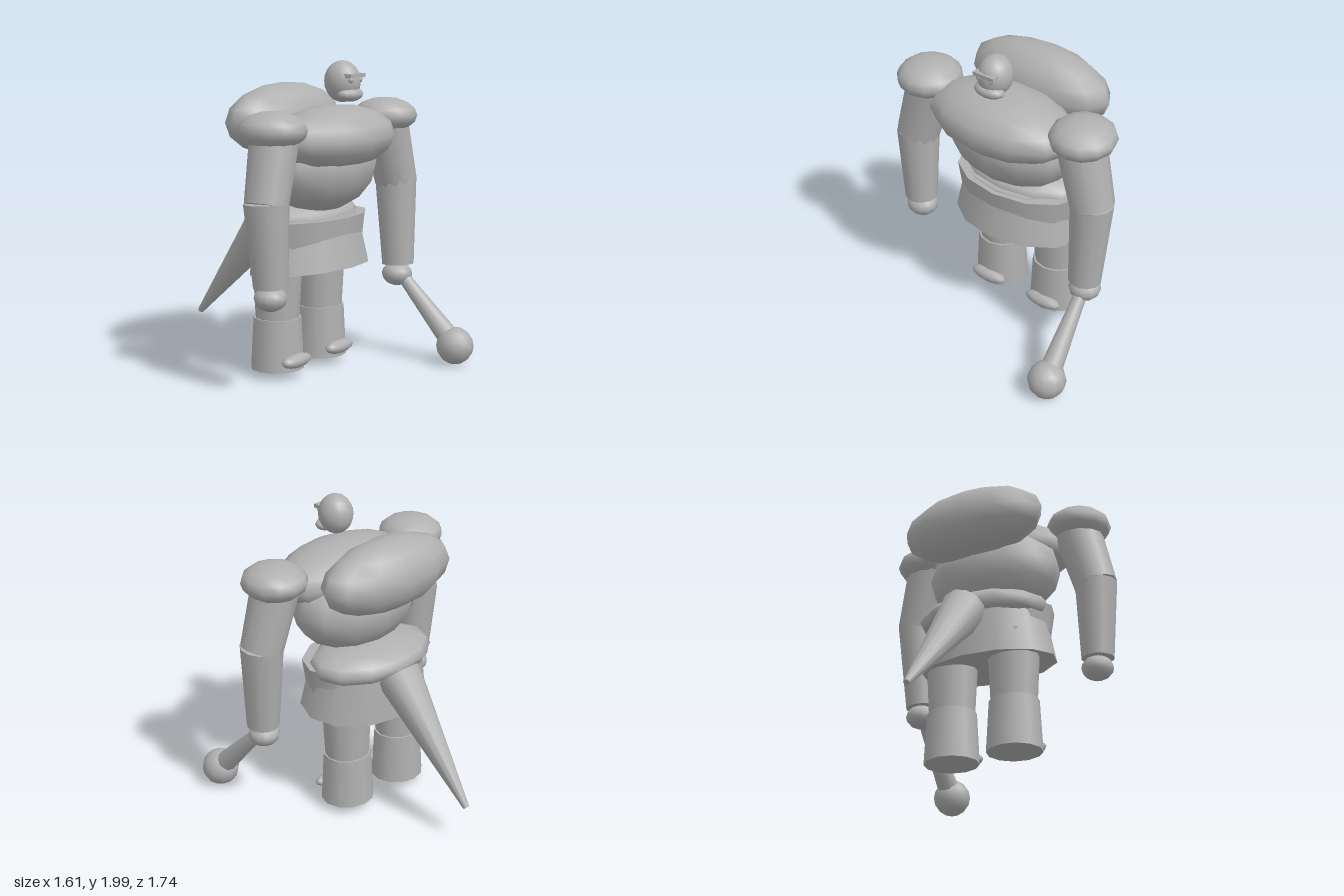
import * as THREE from 'three';

const stone = new THREE.MeshStandardMaterial({ color: 0xb0b0b0 });
stone.name = 'stone grey';

export function createModel() {
  const model = new THREE.Group();
  model.name = 'hulkingBrute';

  const add = (name, geometry, parent = model) => {
    const mesh = new THREE.Mesh(geometry, stone);
    mesh.name = name;
    parent.add(mesh);
    return mesh;
  };

  // Ellipsoid from a centre and three radii
  const blob = (name, pos, radii, parent, seg = 12) => {
    const mesh = add(name, new THREE.SphereGeometry(1, seg, Math.round(seg * 2 / 3)), parent);
    mesh.position.set(...pos);
    mesh.scale.set(...radii);
    return mesh;
  };

  // Tapered limb between two points
  const limb = (name, from, to, rFrom, rTo, parent) => {
    const a = new THREE.Vector3(...from), b = new THREE.Vector3(...to);
    const axis = b.clone().sub(a);
    const mesh = add(name, new THREE.CylinderGeometry(rTo, rFrom, axis.length(), 12), parent);
    mesh.position.copy(a).add(b).multiplyScalar(0.5);
    mesh.quaternion.setFromUnitVectors(new THREE.Vector3(0, 1, 0), axis.normalize());
    return mesh;
  };

  // Tapered oval band, with x scaled by sx and z by sz
  const band = (name, pos, rTop, rBottom, height, sx, sz, tilt = 0, parent = model) => {
    const mesh = add(name, new THREE.CylinderGeometry(rTop, rBottom, height, 12), parent);
    mesh.position.set(...pos);
    mesh.scale.set(sx, 1, sz);
    mesh.rotation.x = tilt;
    return mesh;
  };

  // Torso
  blob('belly', [0, 1.35, 0.16], [0.46, 0.3, 0.31]);
  blob('chest', [0, 1.525, 0.27], [0.51, 0.2, 0.31]);
  blob('backHump', [0, 1.615, -0.125], [0.505, 0.23, 0.225]);
  blob('pelvis', [0, 1.01, 0.02], [0.45, 0.13, 0.3]);

  // Belt and flared skirt
  band('belt', [0, 0.91, 0.09], 0.45, 0.41, 0.22, 1, 0.66, -0.03);
  band('skirt', [0, 0.845, 0.07], 0.4, 0.455, 0.32, 1, 0.74, -0.1);

  // Tail
  limb('tail', [0, 0.96, -0.235], [0, 0.257, -0.853], 0.147, 0.02);

  // Head
  const head = new THREE.Group();
  head.name = 'head';
  model.add(head);
  blob('skull', [0, 1.872, 0.335], [0.108, 0.128, 0.115], head, 18);
  blob('jaw', [0, 1.795, 0.395], [0.105, 0.045, 0.065], head);
  const brow = add('brow', new THREE.BoxGeometry(0.15, 0.025, 0.05), head);
  brow.position.set(0, 1.91, 0.428);
  for (const s of [-1, 1]) blob('eye', [s * 0.045, 1.885, 0.43], [0.02, 0.02, 0.02], head, 9);

  // Arms and legs, with the left forearm a little longer
  for (const s of [-1, 1]) {
    const side = s > 0 ? 'left' : 'right';
    const wristY = s > 0 ? 0.625 : 0.69;
    const wristZ = s > 0 ? 0.315 : 0.3;

    const arm = new THREE.Group();
    arm.name = side + 'Arm';
    model.add(arm);
    blob('shoulder', [s * 0.575, 1.615, 0.253], [0.207, 0.115, 0.212], arm);
    limb('upperArm', [s * 0.555, 1.61, 0.255], [s * 0.67, 1.18, 0.28], 0.155, 0.137, arm);
    limb('forearm', [s * 0.67, 1.2, 0.28], [s * 0.655, wristY, wristZ], 0.137, 0.105, arm);
    blob('hand', [s * 0.653, wristY - 0.067, wristZ - 0.005], [0.103, 0.078, 0.1], arm);

    const leg = new THREE.Group();
    leg.name = side + 'Leg';
    model.add(leg);
    const x = s * 0.223;
    band('thigh', [x, 0.6, 0], 0.17, 0.147, 0.44, 1, 0.93, 0, leg);
    band('shin', [x, 0.225, 0], 0.158, 0.176, 0.33, 1, 0.95, 0, leg);
    blob('toes', [x, 0.125, 0.155], [0.135, 0.045, 0.05], leg);
  }

  // Club held in the left hand
  const club = new THREE.Group();
  club.name = 'club';
  model.add(club);
  limb('clubHandle', [0.655, 0.6, 0.3], [0.684, 0.13, 0.75], 0.035, 0.075, club);
  blob('clubHead', [0.684, 0.13, 0.75], [0.122, 0.122, 0.122], club);

  return model;
}
